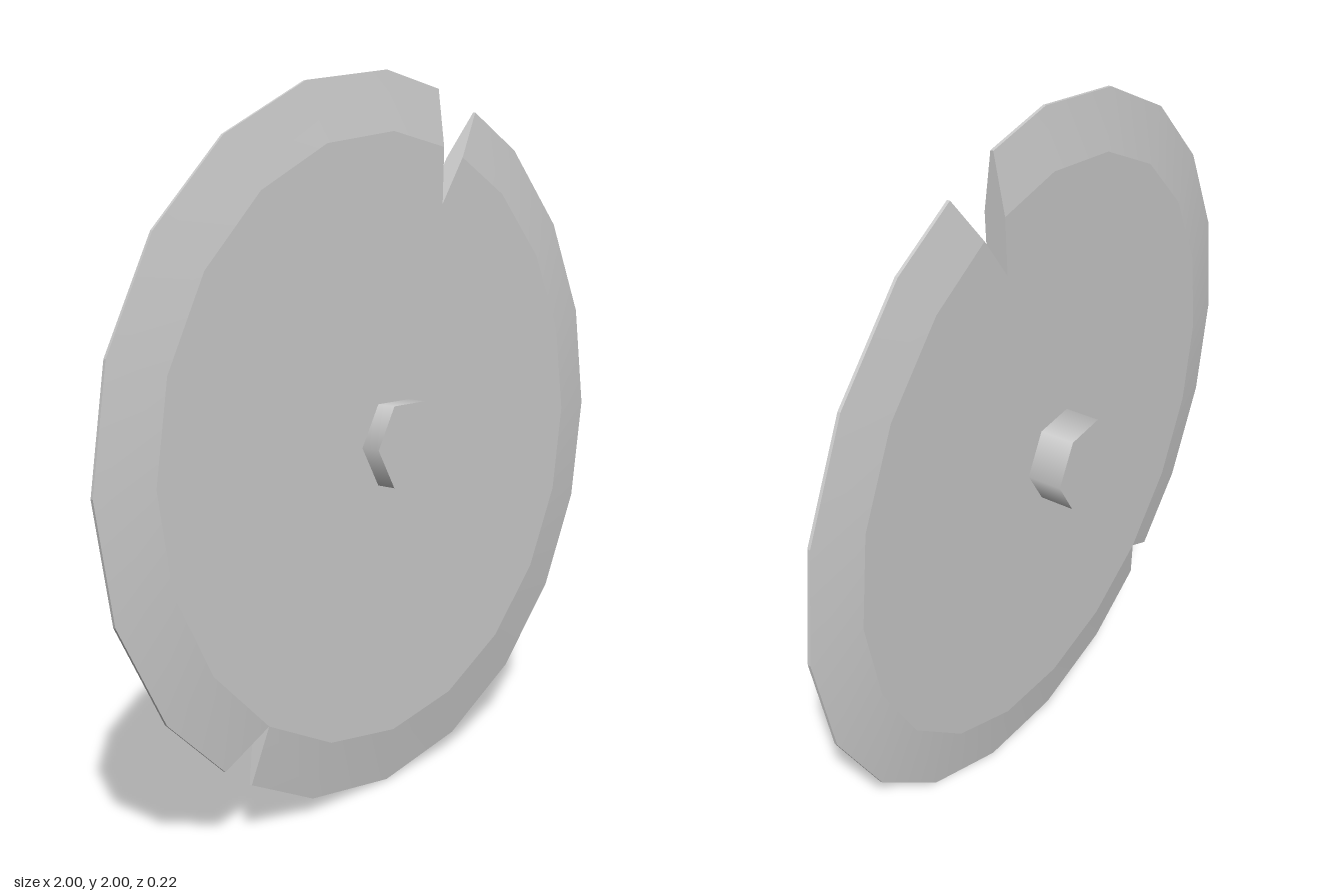
import * as THREE from 'three';
import { toCreasedNormals } from 'three/addons/utils/BufferGeometryUtils.js';

const SIDES = 20;
const SHOULDER = 0.84;   // radius where the bevel starts
const HALF = 0.029;      // half thickness of the flat plate
const EDGE = 0.004;      // half thickness at the sharpened rim

// Each notch replaces one corner of the disc: two cut ends and the tip between them
const corner = (k, r) => {
  const a = (k / SIDES) * Math.PI * 2;
  return [r * Math.cos(a), r * Math.sin(a)];
};
const notches = {
  4: { before: [0.39, 0.91], beforeIn: [0.30, 0.78], tip: [0.21, 0.65], afterIn: [0.215, 0.806], after: [0.22, 0.965] },
  13: { before: [-0.625, -0.768], beforeIn: corner(13, SHOULDER), afterIn: corner(13, SHOULDER), after: [-0.535, -0.834] },
};

function bladeGeometry() {
  // Cross-sections going round the disc: rim point, shoulder point, notch flag
  const sections = [];
  for (let k = 0; k < SIDES; k++) {
    const n = notches[k];
    if (n) {
      sections.push({ rim: n.before, inner: n.beforeIn, notch: n });
      sections.push({ rim: n.after, inner: n.afterIn });
    } else {
      sections.push({ rim: corner(k, 1), inner: corner(k, SHOULDER) });
    }
  }

  const pos = [];
  const tri = (a, b, c) => pos.push(...a, ...b, ...c);
  const quad = (a, b, c, d) => { tri(a, b, c); tri(a, c, d); };
  const at = (p, z) => [p[0], p[1], z];
  // Wall between two outline points, facing outwards
  const wall = (a, ha, b, hb) => quad(at(a, -ha), at(b, -hb), at(b, hb), at(a, ha));

  const outline = [];
  sections.forEach((s, i) => {
    const t = sections[(i + 1) % sections.length];
    outline.push(s.inner);
    if (s.notch) {
      // Cut faces of the notch
      const tip = s.notch.tip;
      wall(s.rim, EDGE, s.inner, HALF);
      if (tip) {
        wall(s.inner, HALF, tip, HALF);
        wall(tip, HALF, t.inner, HALF);
        outline.push(tip);
      }
      wall(t.inner, HALF, t.rim, EDGE);
    } else {
      // Front bevel, back bevel and thin rim
      quad(at(s.inner, HALF), at(s.rim, EDGE), at(t.rim, EDGE), at(t.inner, HALF));
      quad(at(t.inner, -HALF), at(t.rim, -EDGE), at(s.rim, -EDGE), at(s.inner, -HALF));
      wall(s.rim, EDGE, t.rim, EDGE);
    }
  });

  // Flat front and back faces (the repeated point of the small notch is dropped)
  const pts = outline
    .filter((p, i) => i === 0 || Math.hypot(p[0] - outline[i - 1][0], p[1] - outline[i - 1][1]) > 1e-6)
    .map((p) => new THREE.Vector2(...p));
  for (const f of THREE.ShapeUtils.triangulateShape(pts, [])) {
    const [a, b, c] = f.map((i) => [pts[i].x, pts[i].y]);
    tri(at(a, HALF), at(b, HALF), at(c, HALF));
    tri(at(c, -HALF), at(b, -HALF), at(a, -HALF));
  }

  const geo = new THREE.BufferGeometry();
  geo.setAttribute('position', new THREE.Float32BufferAttribute(pos, 3));
  return toCreasedNormals(geo, THREE.MathUtils.degToRad(5));
}

export function createModel() {
  const group = new THREE.Group();
  group.name = 'notchedDisc';
  const material = new THREE.MeshStandardMaterial({ color: 0xcccccc });

  // Bevelled disc with two notches
  const blade = new THREE.Mesh(bladeGeometry(), material);
  blade.name = 'blade';
  blade.position.set(0, 1, 0.021);
  group.add(blade);

  // Hexagonal hub through the centre
  const hubGeo = new THREE.CylinderGeometry(0.13, 0.13, 0.216, 6, 1, false, Math.PI / 2);
  hubGeo.rotateX(Math.PI / 2);
  const hub = new THREE.Mesh(hubGeo, material);
  hub.name = 'hub';
  hub.position.y = 1;
  group.add(hub);

  return group;
}
